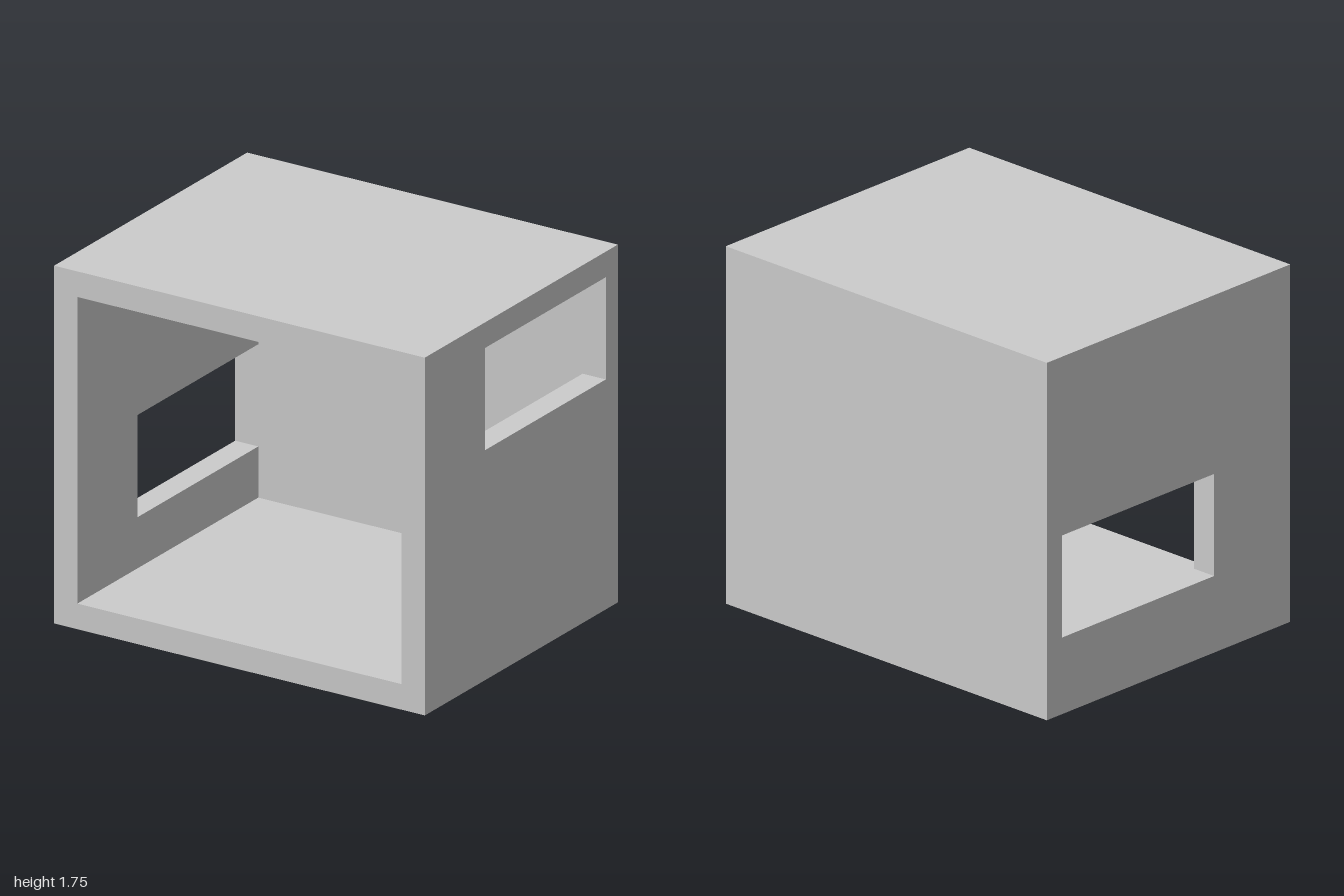
import * as THREE from 'three';

const W = 2, H = 1.75, D = 1.6;   // outer size
const T = 0.125, BACK = 0.1;      // wall and back panel thickness

export function createModel() {
  const group = new THREE.Group();
  const material = new THREE.MeshStandardMaterial({ color: 0xcccccc, flatShading: true });

  const add = (name, geometry, x, y, z) => {
    const mesh = new THREE.Mesh(geometry, material);
    mesh.name = name;
    mesh.position.set(x, y, z);
    group.add(mesh);
  };

  const rectangle = (path, z0, y0, z1, y1) =>
    path.moveTo(z0, y0).lineTo(z1, y0).lineTo(z1, y1).lineTo(z0, y1).closePath();

  // Side wall with a window, drawn in the z-y plane; outerX is its face at larger x
  const sideWall = (name, outerX, sill) => {
    const shape = rectangle(new THREE.Shape(), -D / 2, 0, D / 2, H);
    shape.holes.push(rectangle(new THREE.Path(), -D / 2 + BACK, sill, 0.3, sill + 0.5));
    const geometry = new THREE.ExtrudeGeometry(shape, { depth: T, bevelEnabled: false });
    geometry.rotateY(-Math.PI / 2);
    add(name, geometry, outerX, 0, 0);
  };
  sideWall('leftWall', W / 2, 1.125);         // high window
  sideWall('rightWall', -W / 2 + T, 0.375);   // low window

  // Floor, roof and back panel fit between the side walls; the front stays open
  const innerW = W - 2 * T;
  add('floor', new THREE.BoxGeometry(innerW, T, D), 0, T / 2, 0);
  add('roof', new THREE.BoxGeometry(innerW, T, D), 0, H - T / 2, 0);
  add('backPanel', new THREE.BoxGeometry(innerW, H - 2 * T, BACK), 0, H / 2, -D / 2 + BACK / 2);

  return group;
}
